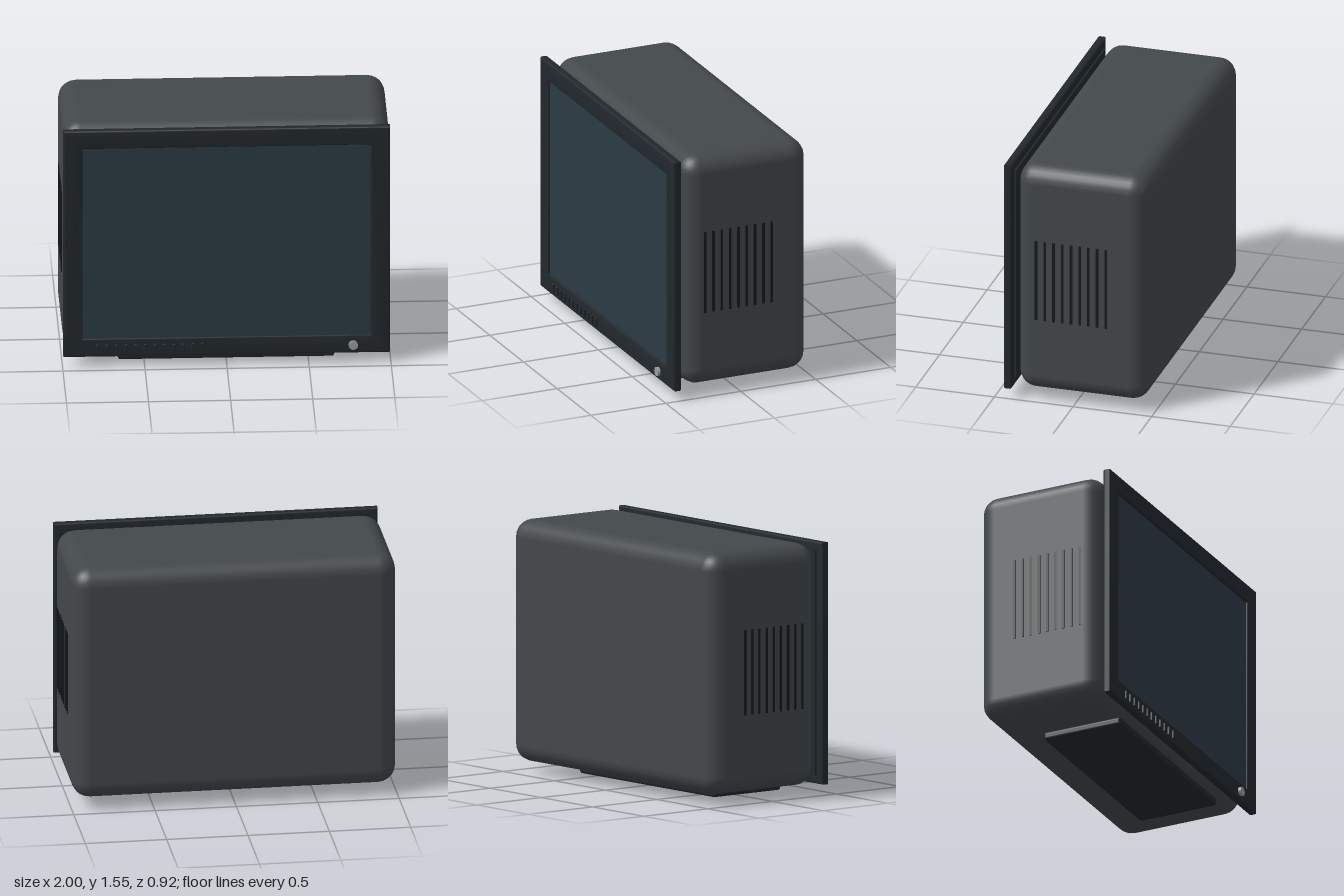
import * as THREE from 'three';
import { RoundedBoxGeometry } from 'three/addons/geometries/RoundedBoxGeometry.js';
import { toCreasedNormals } from 'three/addons/utils/BufferGeometryUtils.js';

const mat = (color) => new THREE.MeshStandardMaterial({ color });

export function createModel() {
  const model = new THREE.Group();
  model.name = 'monitor';
  const casing = mat(0x43484b), trim = mat(0x22282c), glass = mat(0x2b3b44);
  const slot = mat(0x15191b), metal = mat(0x9a9e9e);

  const add = (name, geometry, material, x, y, z, parent = model) => {
    const mesh = new THREE.Mesh(geometry, material);
    mesh.name = name;
    mesh.position.set(x, y, z);
    parent.add(mesh);
    return mesh;
  };
  const addGroup = (name) => {
    const g = new THREE.Group();
    g.name = name;
    model.add(g);
    return g;
  };
  const rect = (Type, w, h) => {
    const p = new Type();
    p.moveTo(-w / 2, -h / 2);
    p.lineTo(w / 2, -h / 2);
    p.lineTo(w / 2, h / 2);
    p.lineTo(-w / 2, h / 2);
    p.closePath();
    return p;
  };

  // Deep rounded casing
  const midY = 0.81;
  add('casing', new RoundedBoxGeometry(1.99, 1.49, 0.825, 3, 0.11), casing, 0, midY, -0.0485);

  // Front frame with softened edges and a screen opening
  const bevel = 0.01;
  const outline = rect(THREE.Shape, 1.99 - 2 * bevel, 1.49 - 2 * bevel);
  outline.holes.push(rect(THREE.Path, 1.754 + 2 * bevel, 1.254 + 2 * bevel));
  const frame = new THREE.ExtrudeGeometry(outline, {
    depth: 0.03, bevelEnabled: true, bevelSize: bevel, bevelThickness: bevel, bevelSegments: 3,
  });
  add('frontFrame', toCreasedNormals(frame, 0.6), trim, 0, midY, 0.403);

  // Backing plate and recessed screen
  add('backingPlate', new THREE.BoxGeometry(1.88, 1.38, 0.018), trim, 0, midY, 0.39);
  add('screen', new THREE.BoxGeometry(1.755, 1.255, 0.03), glass, 0, midY, 0.413);

  // Vent slats on both sides
  const slatGeometry = new THREE.BoxGeometry(0.02, 0.525, 0.016);
  for (const side of [1, -1]) {
    const vents = addGroup(side > 0 ? 'leftVents' : 'rightVents');
    for (let i = 0; i < 9; i++) {
      add('ventSlat', slatGeometry, slot, side * 0.99, midY, 0.236 - i * 0.0555, vents);
    }
  }

  // Row of slim buttons under the screen
  const buttons = addGroup('buttons');
  const buttonGeometry = new RoundedBoxGeometry(0.018, 0.055, 0.024, 1, 0.004);
  for (let i = 0; i < 12; i++) {
    add('button', buttonGeometry, trim, -0.788 + i * 0.0582, 0.12, 0.443, buttons);
  }

  // Power knob
  const knob = new THREE.CylinderGeometry(0.028, 0.028, 0.03, 24);
  knob.rotateX(Math.PI / 2);
  add('powerKnob', knob, metal, 0.77, 0.12, 0.446);

  // Foot slab
  add('foot', new RoundedBoxGeometry(1.32, 0.053, 0.523, 3, 0.018), trim, 0, 0.0265, 0.08);

  return model;
}
